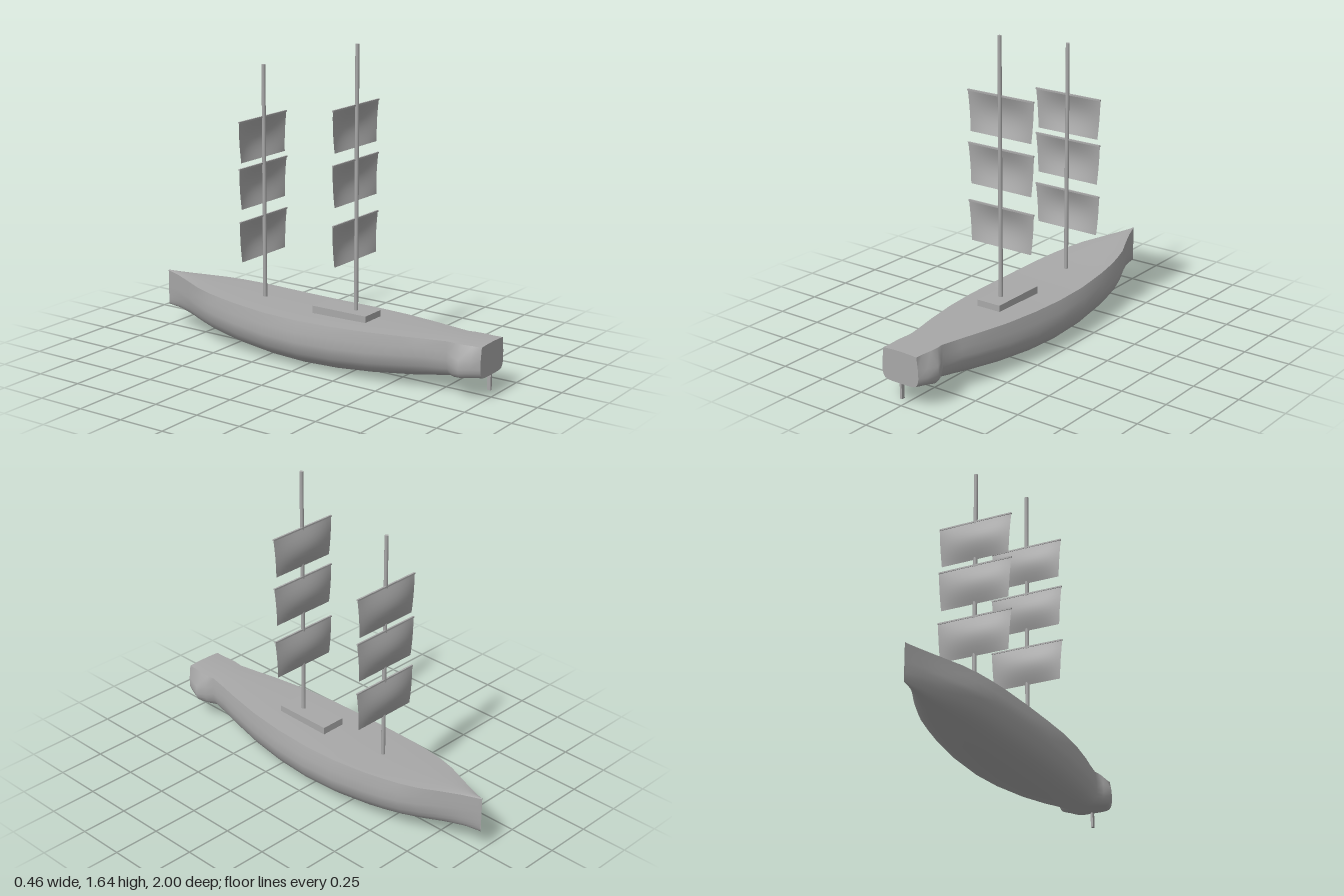
import * as THREE from 'three';

// Hull stations: z, half width, deck half width, keel y, rail y, squareness
const STATIONS = [
  [1, 0.11, 0.1, 0.115, 0.275, 1],
  [0.955, 0.13, 0.1, 0.112, 0.274, 1],
  [0.9, 0.15, 0.105, 0.105, 0.273, 1],
  [0.85, 0.13, 0.105, 0.092, 0.272, 0.6],
  [0.81, 0.107, 0.1, 0.083, 0.271, 0.2],
  [0.7, 0.135, 0.122, 0.063, 0.269, 0],
  [0.6, 0.157, 0.145, 0.047, 0.267, 0],
  [0.4, 0.195, 0.182, 0.022, 0.262, 0],
  [0.2, 0.22, 0.203, 0.006, 0.258, 0],
  [0, 0.23, 0.21, 0, 0.255, 0],
  [-0.2, 0.224, 0.207, 0.006, 0.258, 0],
  [-0.4, 0.203, 0.19, 0.024, 0.268, 0],
  [-0.5, 0.188, 0.175, 0.038, 0.274, 0],
  [-0.6, 0.167, 0.155, 0.053, 0.28, 0],
  [-0.7, 0.13, 0.125, 0.07, 0.286, 0],
  [-0.8, 0.082, 0.08, 0.088, 0.293, 0],
  [-0.9, 0.038, 0.037, 0.106, 0.299, 0],
  [-1, 0.001, 0.001, 0.115, 0.303, 0],
];
const SECTION = [[0, 0], [0.22, 0.006], [0.43, 0.03], [0.6, 0.075], [0.74, 0.14],
  [0.85, 0.225], [0.92, 0.33], [0.975, 0.45], [1, 0.57], [0.985, 0.77]];

// Section from the left rail, under the keel, to the right rail
function hullRow([z, w, deck, keel, rail, square]) {
  const half = SECTION.map(([x, y]) => [x * w, keel + Math.pow(y, 1 + square) * (rail - keel), z]);
  half.push([deck, rail, z]);
  return [...half.slice(1).reverse(), ...half.map(([x, y]) => [-x, y, z])];
}

// Gently crowned deck from right rail to left rail
function deckRow([z, , deck, , rail]) {
  return Array.from({ length: 9 }, (_, j) => {
    const u = j / 4 - 1;
    return [u * deck, rail + 0.004 * (1 - u * u), z];
  });
}

// Smooth surface through equal rows of points
function loft(rows) {
  const n = rows[0].length, index = [];
  for (let i = 0; i < rows.length - 1; i++) {
    for (let j = 0; j < n - 1; j++) {
      const a = i * n + j, b = a + n;
      index.push(a, a + 1, b, a + 1, b + 1, b);
    }
  }
  const geo = new THREE.BufferGeometry();
  geo.setAttribute('position', new THREE.Float32BufferAttribute(rows.flat(2), 3));
  geo.setIndex(index);
  geo.computeVertexNormals();
  return geo;
}

// Sail panel tapering downward and bellied toward -z
function sailGeometry(height) {
  const geo = new THREE.PlaneGeometry(2, 1, 16, 10);
  const p = geo.attributes.position;
  for (let i = 0; i < p.count; i++) {
    const u = p.getX(i), v = 0.5 - p.getY(i);
    const belly = 0.027 * (1 - u * u * 0.85) * Math.sin(Math.PI * v);
    p.setXYZ(i, u * (0.2 - 0.016 * v), -v * height, -belly);
  }
  geo.computeVertexNormals();
  return geo;
}

export function createModel() {
  const model = new THREE.Group();
  const grey = new THREE.MeshStandardMaterial({ color: 0xa8a8a8, side: THREE.DoubleSide });
  grey.name = 'plain grey';

  function add(name, geo, x = 0, y = 0, z = 0, parent = model) {
    const mesh = new THREE.Mesh(geo, grey);
    mesh.name = name;
    mesh.position.set(x, y, z);
    parent.add(mesh);
    return mesh;
  }

  // Hull, deck and flat stern
  add('hull', loft(STATIONS.map(hullRow)));
  add('deck', loft(STATIONS.map(deckRow)));
  const sternEdge = hullRow(STATIONS[0]).concat(deckRow(STATIONS[0]).slice(1, -1));
  const sternShape = new THREE.Shape(sternEdge.map(([x, y]) => new THREE.Vector2(x, y)));
  add('stern', new THREE.ShapeGeometry(sternShape), 0, 0, 1);

  // Hatch and rudder
  add('hatch', new THREE.BoxGeometry(0.136, 0.05, 0.32), 0, 0.272, 0.16);
  add('rudder', new THREE.BoxGeometry(0.012, 0.1, 0.02), 0, 0.085, 0.989);

  // Masts with three sails each
  const rigs = [
    { name: 'mainMast', z: 0.218, top: 1.637, sails: [1.34, 1.07, 0.77] },
    { name: 'foreMast', z: -0.35, top: 1.485, sails: [1.22, 0.98, 0.705] },
  ];
  for (const { name, z, top, sails } of rigs) {
    const rig = new THREE.Group();
    rig.name = name;
    rig.position.z = z;
    model.add(rig);
    add('mast', new THREE.CylinderGeometry(0.01, 0.011, top - 0.25, 12), 0, (top + 0.25) / 2, 0, rig);
    for (const y of sails) {
      add('sail', sailGeometry(0.21), 0, y - 0.003, -0.005, rig);
      add('yard', new THREE.BoxGeometry(0.4, 0.008, 0.009), 0, y - 0.004, -0.005, rig);
    }
  }
  return model;
}
